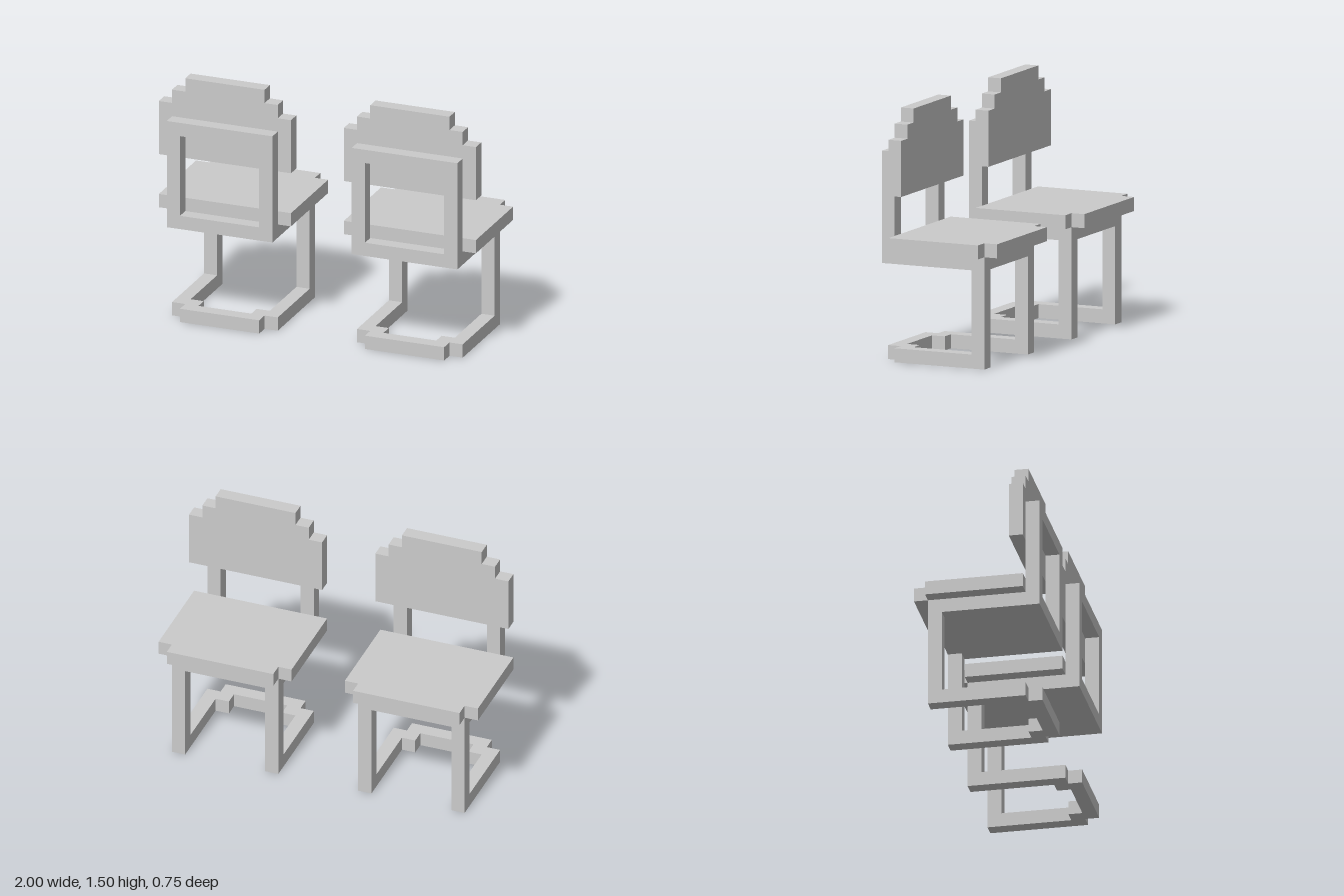
import * as THREE from 'three';

// Everything sits on a 1/12 grid; dimensions below are in grid units.
const U = 1 / 12;
const material = new THREE.MeshStandardMaterial({ color: 0xcccccc, flatShading: true });

function add(parent, name, geometry) {
  const mesh = new THREE.Mesh(geometry.scale(U, U, U), material);
  mesh.name = name;
  parent.add(mesh);
}

function box(x0, x1, y0, y1, z0, z1) {
  return new THREE.BoxGeometry(x1 - x0, y1 - y0, z1 - z0)
    .translate((x0 + x1) / 2, (y0 + y1) / 2, (z0 + z1) / 2);
}

const points = (list) => list.map(([x, y]) => new THREE.Vector2(x, y));

// Outline symmetric about x = 0, given by its +x half.
const mirrored = (half) =>
  new THREE.Shape(points([...half, ...half.map(([x, y]) => [-x, y]).reverse()]));

const extrude = (shape) => new THREE.ExtrudeGeometry(shape, { depth: 1, bevelEnabled: false });

// Upright panel one unit thick, starting at depth z.
const upright = (shape, z) => extrude(shape).translate(0, 0, z);

// Flat plate one unit thick from an (x, z) plan, with its top at height y.
const plate = (shape, y) => extrude(shape).rotateX(Math.PI / 2).translate(0, y, 0);

function createChair() {
  const chair = new THREE.Group();

  // Stepped backrest panel
  add(chair, 'backrest', upright(mirrored([
    [5, 12], [5, 16], [4, 16], [4, 17], [3, 17], [3, 18],
  ]), 2.5));

  // Rectangular frame carrying the backrest
  const frame = mirrored([[4, 7], [4, 15]]);
  frame.holes.push(new THREE.Path(points([[-3, 8], [3, 8], [3, 14], [-3, 14]])));
  add(chair, 'backFrame', upright(frame, 3.5));

  // Seat with a narrower lip, on a support slab
  add(chair, 'seat', plate(mirrored([[4, -4.5], [4, -3.5], [5, -3.5], [5, 3.5]]), 9));
  add(chair, 'seatSupport', box(-4, 4, 7, 8, -3.5, 3.5));

  // Legs standing on the open end of the base
  for (const [name, x] of [['leftLeg', 3], ['rightLeg', -4]]) {
    add(chair, name, box(x, x + 1, 1, 7, -3.5, -2.5));
  }

  // U-shaped floor rail with stepped corners
  add(chair, 'baseRail', plate(mirrored([
    [2, 3.5], [2, 2.5], [3, 2.5], [3, -3.5], [4, -3.5], [4, 3.5], [3, 3.5], [3, 4.5],
  ]), 1));

  return chair;
}

export function createModel() {
  const model = new THREE.Group();
  model.name = 'chairPair';
  for (const [name, x] of [['leftChair', 7], ['rightChair', -7]]) {
    const chair = createChair();
    chair.name = name;
    chair.position.x = x * U;
    model.add(chair);
  }
  return model;
}
